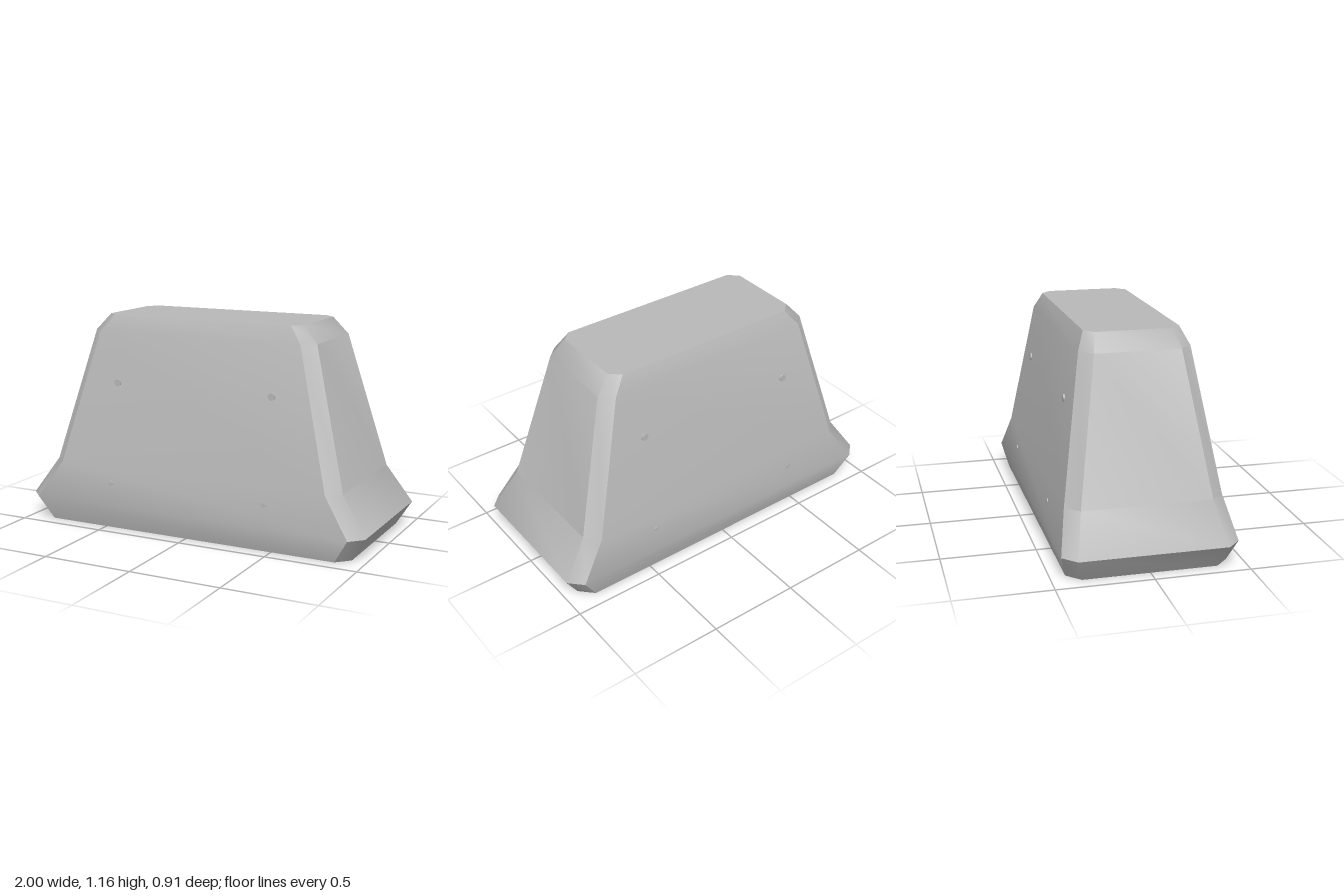
import * as THREE from 'three';
import { toCreasedNormals } from 'three/addons/utils/BufferGeometryUtils.js';

// Body levels: height, outer half width, flat half width, outer half depth, flat half depth
const LEVELS = [
  [0, 0.92, 0.85, 0.42, 0.35],
  [0.13, 1.0, 0.93, 0.455, 0.385],
  [0.335, 0.86, 0.79, 0.41, 0.34],
  [1.07, 0.66, 0.595, 0.29, 0.225],
  [1.16, 0.58, 0.525, 0.25, 0.2],
];

// Loft of chamfered rectangles, closed at both ends
function bodyGeometry() {
  const positions = [];
  const index = [];
  for (const [y, X, x, Z, z] of LEVELS) {
    const ring = [[X, z], [x, Z], [-x, Z], [-X, z], [-X, -z], [-x, -Z], [x, -Z], [X, -z]];
    for (const [px, pz] of ring) positions.push(px, y, pz);
  }
  const top = (LEVELS.length - 1) * 8;
  for (let j = 0; j < LEVELS.length - 1; j++) {
    for (let i = 0; i < 8; i++) {
      const a = j * 8 + i;
      const b = j * 8 + (i + 1) % 8;
      index.push(a, a + 8, b + 8, a, b + 8, b);
    }
  }
  for (let i = 1; i < 7; i++) {
    index.push(0, i, i + 1);
    index.push(top, top + i + 1, top + i);
  }
  const geometry = new THREE.BufferGeometry();
  geometry.setAttribute('position', new THREE.Float32BufferAttribute(positions, 3));
  geometry.setIndex(index);
  return toCreasedNormals(geometry, THREE.MathUtils.degToRad(38));
}

export function createModel() {
  const model = new THREE.Group();
  const grey = new THREE.MeshStandardMaterial({ color: 0xb8b8b8 });
  grey.name = 'light grey';

  const body = new THREE.Mesh(bodyGeometry(), grey);
  body.name = 'body';
  model.add(body);

  // Four small studs on the front and four on the back
  const studs = new THREE.Group();
  studs.name = 'studs';
  const rows = [
    { y: 0.8, end: 0.342, radius: 0.02 },
    { y: 0.25, end: 0.433, radius: 0.013 },
  ];
  for (const { y, end, radius } of rows) {
    const geometry = new THREE.CylinderGeometry(radius, radius, 0.03, 12).rotateX(Math.PI / 2);
    for (const side of [-1, 1]) {
      for (const x of [-0.46, 0.46]) {
        const stud = new THREE.Mesh(geometry, grey);
        stud.name = 'stud';
        stud.position.set(x, y, side * (end - 0.015));
        studs.add(stud);
      }
    }
  }
  model.add(studs);
  return model;
}
